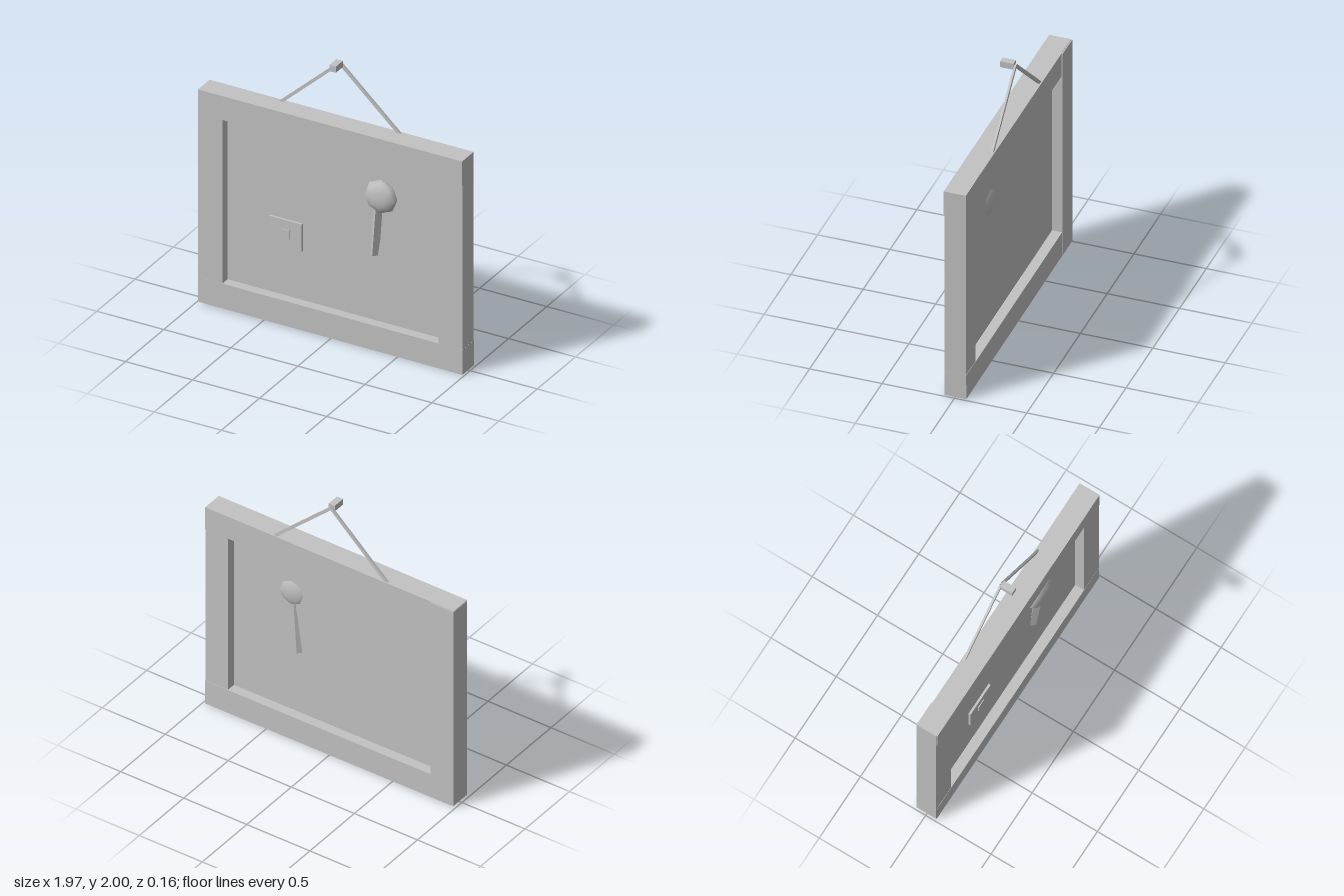
import * as THREE from 'three';

export function createModel() {
  const group = new THREE.Group();
  const grey = new THREE.MeshStandardMaterial({ color: 0xc2c2c2 });
  grey.name = 'plain grey';

  const add = (name, geometry) => {
    const mesh = new THREE.Mesh(geometry, grey);
    mesh.name = name;
    group.add(mesh);
    return mesh;
  };
  // Box given by its lower and upper limits on each axis
  const box = (name, [x0, x1], [y0, y1], [z0, z1]) => {
    const mesh = add(name, new THREE.BoxGeometry(x1 - x0, y1 - y0, z1 - z0));
    mesh.position.set((x0 + x1) / 2, (y0 + y1) / 2, (z0 + z1) / 2);
    return mesh;
  };
  // Lay a mesh whose length is along y between two points
  const span = (mesh, a, b) => {
    mesh.position.copy(a).add(b).multiplyScalar(0.5);
    mesh.quaternion.setFromUnitVectors(new THREE.Vector3(0, 1, 0), b.clone().sub(a).normalize());
    return mesh;
  };

  // Frame of four slightly uneven boards
  box('topRail', [-0.985, 0.985], [1.4, 1.576], [-0.072, 0.08]);
  box('bottomRail', [-0.98, 0.985], [0.004, 0.187], [-0.076, 0.075]);
  box('leftPost', [0.804, 0.984], [0.006, 1.574], [-0.073, 0.074]);
  box('rightPost', [-0.988, -0.806], [0.014, 1.572], [-0.079, 0.073]);
  group.getObjectByName('bottomRail').rotation.z = -0.004;

  // Thin board set in the middle of the frame
  box('panel', [-0.85, 0.85], [0.15, 1.45], [-0.006, 0.006]);

  // Small raised plate with a square button
  box('plate', [-0.49, -0.245], [0.55, 0.752], [-0.002, 0.022]);
  box('plateButton', [-0.399, -0.335], [0.619, 0.684], [0.01, 0.028]);

  // Flattened eight-sided knob, partly through the panel
  const knob = add('knob', new THREE.SphereGeometry(0.122, 8, 6).rotateX(Math.PI / 2));
  knob.scale.z = 0.42;
  knob.position.set(0.348, 1.12, 0.025);

  // Four-sided handle with one ridge facing forward
  const top = new THREE.Vector3(0.328, 1.08, 0.02);
  const bottom = new THREE.Vector3(0.288, 0.67, 0.0);
  const handle = new THREE.CylinderGeometry(0.033, 0.033, top.distanceTo(bottom), 4).toNonIndexed();
  handle.computeVertexNormals();
  span(add('handle', handle), bottom, top);

  // Hanging cords running up to a wall peg
  for (const [name, side] of [['leftCord', 1], ['rightCord', -1]]) {
    const low = new THREE.Vector3(side * 0.452, 1.562, -0.055);
    const high = new THREE.Vector3(0, 1.976, -0.052);
    span(add(name, new THREE.BoxGeometry(0.022, low.distanceTo(high), 0.015)), low, high);
  }
  box('peg', [-0.024, 0.024], [1.955, 2], [-0.046, 0.046]);

  return group;
}
